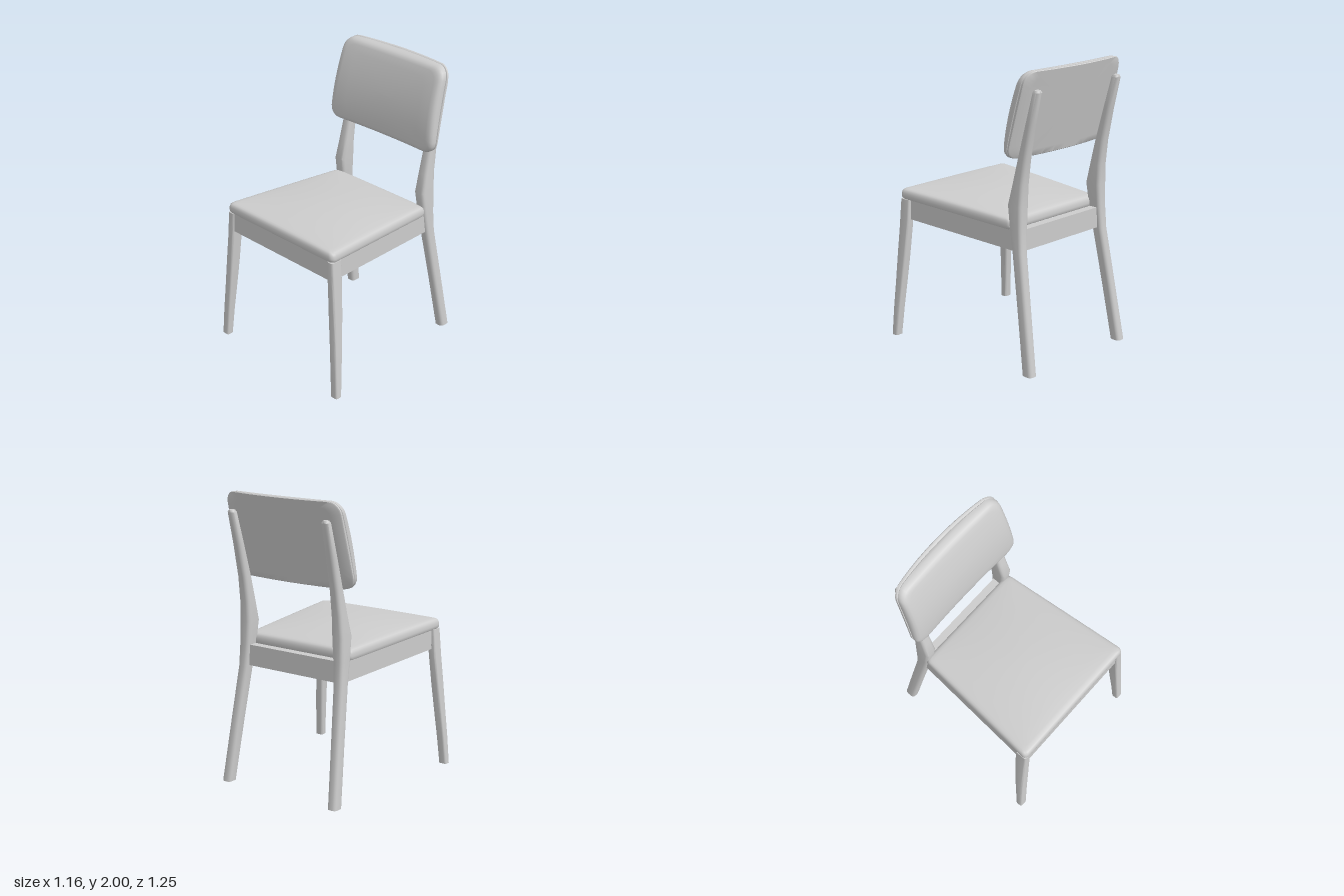
import * as THREE from 'three';
import { toCreasedNormals } from 'three/addons/utils/BufferGeometryUtils.js';

const V = (x, y, z) => new THREE.Vector3(x, y, z);

// Skin a list of equal-length loops and cap both ends; faces are turned outward
function loft(loops, crease = 0.6) {
  const n = loops[0].length, pos = [], idx = [];
  loops.forEach(l => l.forEach(p => pos.push(p.x, p.y, p.z)));
  for (let i = 0; i < loops.length - 1; i++) {
    for (let j = 0; j < n; j++) {
      const a = i * n + j, b = i * n + (j + 1) % n;
      idx.push(a, b, b + n, a, b + n, a + n);
    }
  }
  [0, loops.length - 1].forEach((k, end) => {
    const c = loops[k].reduce((s, p) => s.add(p), V(0, 0, 0)).divideScalar(n);
    const ci = pos.length / 3;
    pos.push(c.x, c.y, c.z);
    for (let j = 0; j < n; j++) {
      const a = k * n + j, b = k * n + (j + 1) % n;
      idx.push(ci, end ? a : b, end ? b : a);
    }
  });
  const at = i => V(pos[3 * i], pos[3 * i + 1], pos[3 * i + 2]);
  let volume = 0;
  for (let i = 0; i < idx.length; i += 3) {
    volume += at(idx[i]).dot(at(idx[i + 1]).cross(at(idx[i + 2])));
  }
  if (volume < 0) idx.reverse();
  const g = new THREE.BufferGeometry();
  g.setAttribute('position', new THREE.Float32BufferAttribute(pos, 3));
  g.setIndex(idx);
  return toCreasedNormals(g, crease);
}

// Rounded rectangle with subdivided edges, centred on the origin
function roundedRect(w, h, r, edge = 8, arc = 5) {
  const pts = [];
  const centres = [[1, 1], [-1, 1], [-1, -1], [1, -1]].map(([a, b]) => [a * (w - r), b * (h - r)]);
  centres.forEach(([cx, cy], q) => {
    for (let i = 0; i <= arc; i++) {
      const t = (q + i / arc) * Math.PI / 2;
      pts.push([cx + r * Math.cos(t), cy + r * Math.sin(t)]);
    }
    const [px, py] = pts[pts.length - 1], [nx, ny] = centres[(q + 1) % 4];
    const t = (q + 1) * Math.PI / 2;
    const ex = nx + r * Math.cos(t), ey = ny + r * Math.sin(t);
    for (let i = 1; i < edge; i++) {
      pts.push([px + (ex - px) * i / edge, py + (ey - py) * i / edge]);
    }
  });
  return pts;
}

// Pad: outline rings of [scale, depth] bent into place by a mapping
const pad = (outline, rings, map) =>
  loft(rings.map(([s, t]) => outline.map(([x, y]) => map(x * s, y * s, t))), 0.7);

// Leg from rows of [y, xInner, xOuter, zBack, zFront], with rounded corners
function leg(rows, side, r) {
  return loft(rows.map(([y, x0, x1, z0, z1]) =>
    roundedRect((x1 - x0) / 2, (z1 - z0) / 2, r, 1, 3)
      .map(([x, z]) => V(side * ((x0 + x1) / 2 + x), y, (z0 + z1) / 2 + z))));
}

export function createModel() {
  const group = new THREE.Group();
  const grey = new THREE.MeshStandardMaterial({ color: 0xcccccc });
  grey.name = 'light grey';
  const add = (name, geometry) => {
    const mesh = new THREE.Mesh(geometry, grey);
    mesh.name = name;
    group.add(mesh);
  };

  // Legs: curved front pair, back pair running up to hold the backrest
  const frontRows = [
    [0, 0.522, 0.582, 0.573, 0.625], [0.2, 0.508, 0.57, 0.556, 0.616],
    [0.4, 0.492, 0.554, 0.536, 0.606], [0.6, 0.476, 0.538, 0.518, 0.598],
    [0.8, 0.462, 0.52, 0.503, 0.59], [0.88, 0.456, 0.514, 0.5, 0.588],
    [0.988, 0.452, 0.506, 0.498, 0.584],
  ];
  const backRows = [
    [0, 0.415, 0.485, -0.622, -0.54], [0.4, 0.39, 0.46, -0.556, -0.472],
    [0.8, 0.362, 0.436, -0.488, -0.402], [0.95, 0.352, 0.432, -0.478, -0.375],
    [1.11, 0.342, 0.43, -0.476, -0.355], [1.25, 0.342, 0.422, -0.482, -0.388],
    [1.42, 0.344, 0.416, -0.505, -0.428], [1.65, 0.348, 0.414, -0.552, -0.49],
    [1.865, 0.352, 0.412, -0.604, -0.55], [1.88, 0.36, 0.404, -0.6, -0.558],
  ];
  for (const [side, label] of [[1, 'left'], [-1, 'right']]) {
    add(label + 'FrontLeg', leg(frontRows, side, 0.014));
    add(label + 'BackLeg', leg(backRows, side, 0.024));
    // Side rail tapering in toward the back
    const end = (x0, x1, y0, y1, z) =>
      [[x0, y0], [x1, y0], [x1, y1], [x0, y1]].map(([x, y]) => V(side * x, y, z));
    add(label + 'SideRail', loft([
      end(0.43, 0.49, 0.85, 0.99, 0.53), end(0.355, 0.415, 0.807, 0.948, -0.43),
    ]));
  }

  // Front and back rails
  const crossRail = (half, y0, y1, z0, z1) => loft([-half, half].map(x =>
    [[y0, z0], [y0, z1], [y1, z1], [y1, z0]].map(([y, z]) => V(x, y, z))));
  add('frontRail', crossRail(0.46, 0.85, 0.992, 0.51, 0.575));
  add('backRail', crossRail(0.38, 0.806, 0.95, -0.455, -0.395));

  // Seat cushion: wider at the front, falling to the back, gently domed
  const seatMap = (x, y, t) => {
    const z = 0.098 + y, u = x / 0.47, v = y / 0.49;
    const bottom = 0.99 - (0.588 - z) * 0.047;
    const dome = Math.max(0, 1 - u * u) * Math.max(0, 1 - v * v);
    const top = 0.072 + 0.03 * dome;
    return V(x * (1 + 0.18 * y), bottom + t * top, z);
  };
  add('seatCushion', pad(roundedRect(0.47, 0.49, 0.035), [
    [0.02, 0], [0.5, 0], [0.96, 0], [0.985, 0.02], [0.997, 0.15], [1, 0.35], [0.997, 0.6],
    [0.988, 0.8], [0.972, 0.92], [0.945, 0.98], [0.9, 1], [0.75, 1], [0.55, 1], [0.3, 1], [0.02, 1],
  ], seatMap));

  // Backrest: curved shell with an upholstered front
  const backMap = (x, y, t) => {
    const h = 1.71 + y, u2 = (x / 0.47) ** 2, d = h - 1.42;
    const back = -0.455 - 0.25 * d + 0.045 * u2;
    const front = -0.355 - 0.39 * d * d - 0.015 * (1 - u2);
    return V(x * (1.02 - 0.1 * (h - 1.5)), h, back + (front - back) * t);
  };
  const backOutline = roundedRect(0.472, 0.288, 0.08);
  add('backrestShell', pad(backOutline, [
    [0.02, 0], [0.3, 0], [0.6, 0], [0.85, 0], [0.985, 0], [1, 0.06], [1, 0.22], [0.985, 0.27],
    [0.6, 0.27], [0.02, 0.27],
  ], backMap));
  add('backrestCushion', pad(backOutline, [
    [0.02, 0.24], [0.6, 0.24], [0.98, 0.25], [0.997, 0.32], [1, 0.5], [0.99, 0.72], [0.97, 0.87],
    [0.935, 0.97], [0.88, 1], [0.7, 1], [0.45, 1], [0.2, 1], [0.02, 1],
  ], backMap));

  return group;
}
